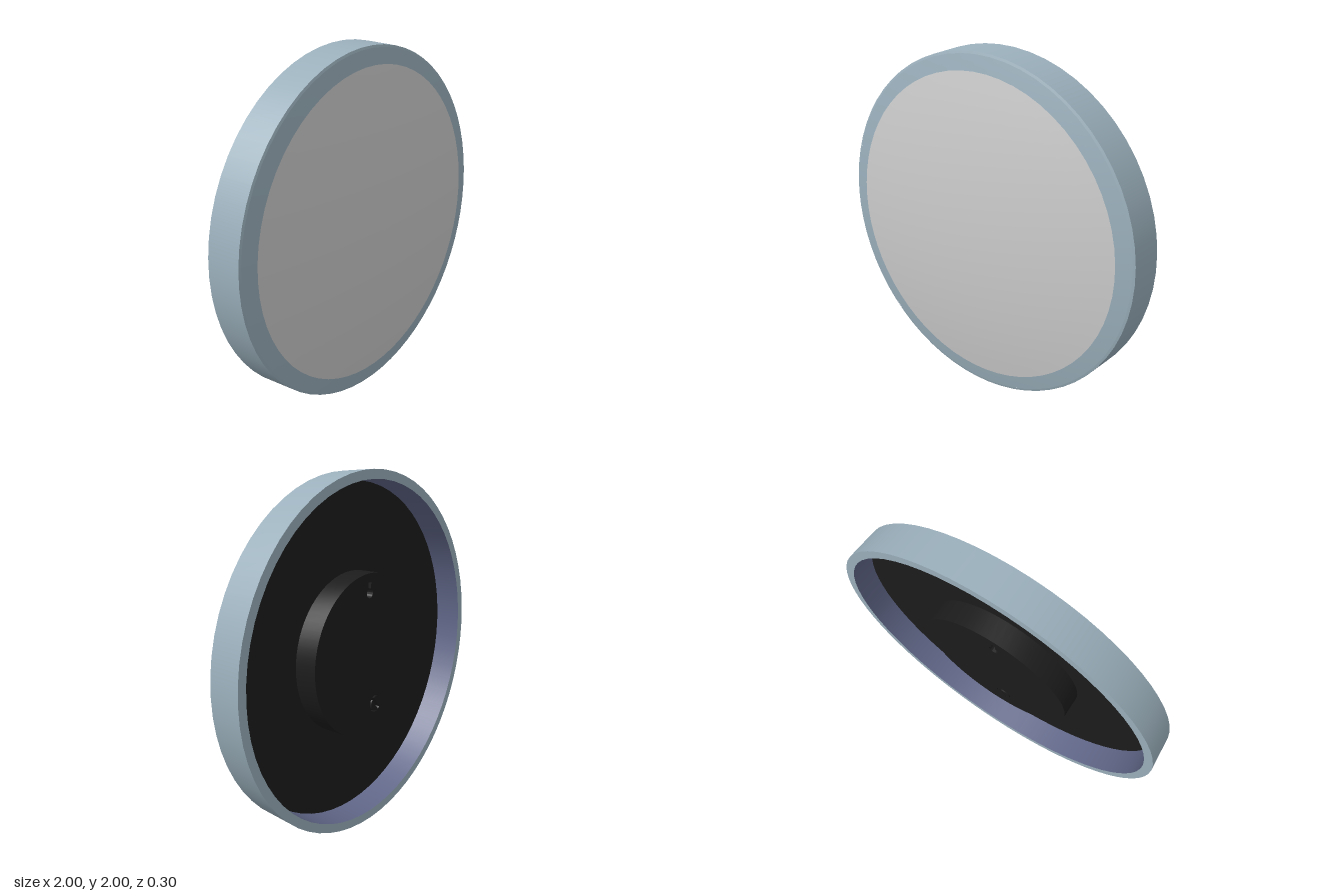
import * as THREE from 'three';
import { mergeGeometries, toCreasedNormals } from 'three/addons/utils/BufferGeometryUtils.js';

const SIDES = 64;

const makeMaterial = (name, color) => {
  const m = new THREE.MeshStandardMaterial({ color });
  m.name = name;
  return m;
};

// Surface of revolution around z; points are [radius, z]
function turned(points) {
  const profile = points.map(([r, z]) => new THREE.Vector2(r, z));
  return new THREE.LatheGeometry(profile, SIDES).rotateX(Math.PI / 2);
}

export function createModel() {
  const frameBlue = makeMaterial('frame blue', 0x9bb0bc);
  const domeGrey = makeMaterial('dome grey', 0xcccccc);
  const innerBlue = makeMaterial('inner wall blue', 0x62688a);
  const backBlack = makeMaterial('back black', 0x1c1c1c);

  const model = new THREE.Group();
  model.name = 'roundWallUnit';
  const body = new THREE.Group();
  body.name = 'body';
  body.position.y = 1;
  model.add(body);

  const add = (name, geometry, material) => {
    const mesh = new THREE.Mesh(geometry, material);
    mesh.name = name;
    body.add(mesh);
    return mesh;
  };

  // Height of the shallow dome at a given radius
  const domeZ = (r) => 0.145 - 0.101 * r * r;

  // Frame: back lip, tapered outer wall, front step and curved bezel
  const arc = (from, to, n) => Array.from({ length: n + 1 }, (_, i) => {
    const r = from + (to - from) * i / n;
    return [r, domeZ(r)];
  });
  add('frame', mergeGeometries([
    turned([[0.95, -0.15], [1, -0.15]]),
    turned([[1, -0.15], [0.988, 0.045]]),
    turned([[0.988, 0.045], [0.975, 0.049]]),
    turned(arc(0.975, 0.89, 3)),
  ]), frameBlue);

  // Front dome
  add('frontDome', turned(arc(0.89, 0, 14)), domeGrey);

  // Recessed back
  add('innerWall', turned([[0.94, 0], [0.95, -0.15]]), innerBlue);
  add('backPanel', turned([[0, 0], [0.94, 0]]), backBlack);

  // Round housing with a hanging keyhole and a dial recess
  const housing = new THREE.Shape().absarc(0, 0, 0.46, 0, Math.PI * 2);
  const keyhole = new THREE.Path();
  const slot = 0.4;
  keyhole.moveTo(0.012, 0.41);
  keyhole.lineTo(-0.012, 0.41);
  keyhole.absarc(0, 0.35, 0.027, Math.PI / 2 + slot, Math.PI * 2.5 - slot);
  keyhole.closePath();
  const dialX = -0.06, dialY = -0.3;
  const recess = new THREE.Path().absarc(dialX, dialY, 0.05, 0, Math.PI * 2);
  housing.holes.push(keyhole, recess);
  const housingGeometry = new THREE.ExtrudeGeometry(housing, {
    depth: 0.13, bevelEnabled: false, curveSegments: 32,
  }).translate(0, 0, -0.13);
  add('rearHousing', toCreasedNormals(housingGeometry, 0.6), backBlack);

  // Slotted dial made of two half discs
  const halves = [0, Math.PI].map((turn) => {
    const half = new THREE.Shape().absarc(0, 0, 0.044, 0.2, Math.PI - 0.2);
    return new THREE.ExtrudeGeometry(half, { depth: 0.1, bevelEnabled: false, curveSegments: 16 })
      .rotateZ(turn + 0.9);
  });
  add('slottedDial', mergeGeometries(halves), backBlack).position.set(dialX, dialY, -0.135);

  return model;
}
